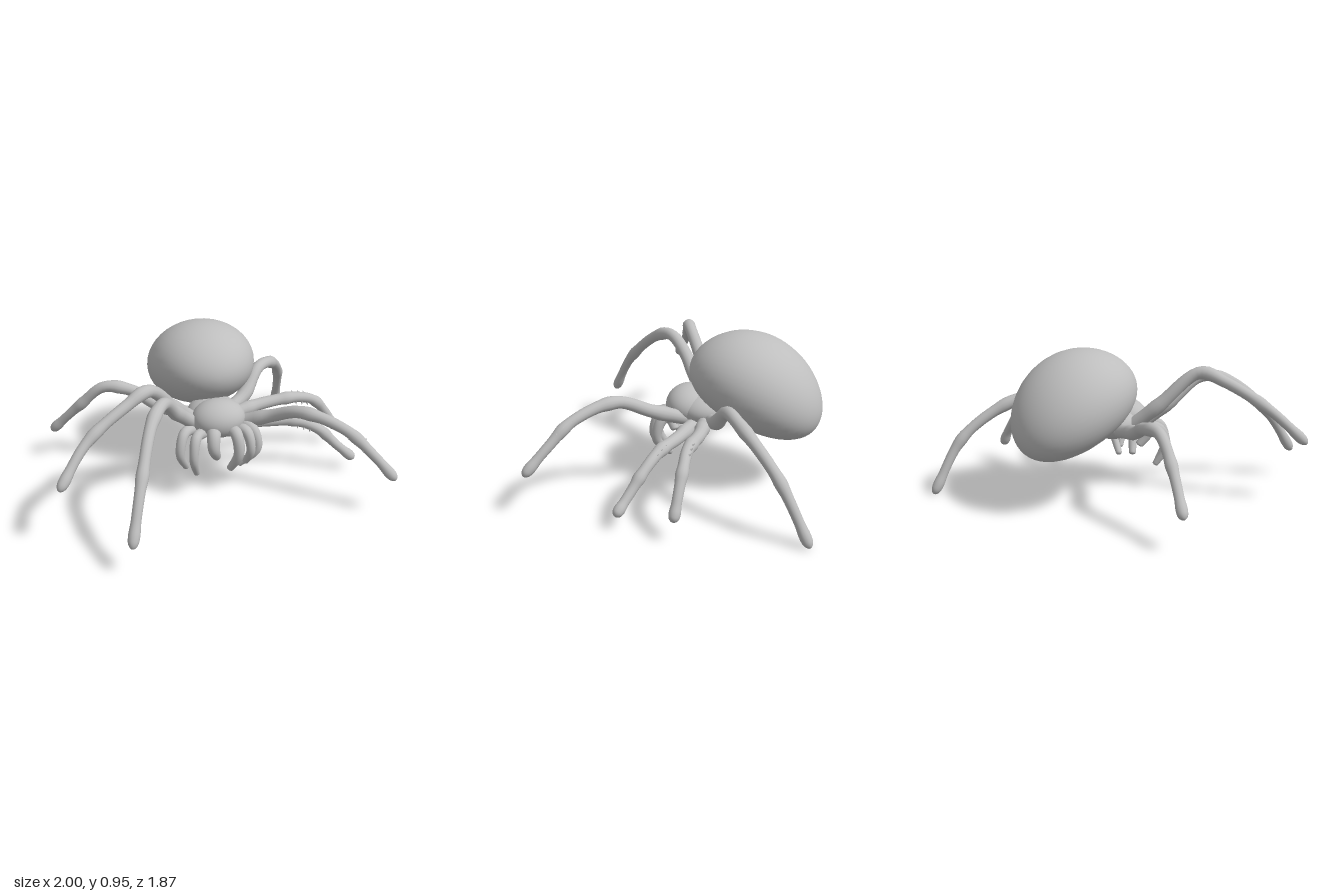
import * as THREE from 'three';
import { mergeVertices } from 'three/addons/utils/BufferGeometryUtils.js';

const grey = new THREE.MeshStandardMaterial({ color: 0xbebebe });
grey.name = 'stone grey';

function addMesh(parent, name, geometry) {
  const mesh = new THREE.Mesh(geometry, grey);
  mesh.name = name;
  parent.add(mesh);
  return mesh;
}

// Tube along a smooth path whose radius follows a rule; rings crowd towards the rounded far end
function limb(curve, radius, segments = 60, sides = 14) {
  const frames = curve.computeFrenetFrames(segments, false), pos = [], idx = [];
  for (let i = 0; i <= segments; i++) {
    const t = 1 - (1 - i / segments) ** 1.6, p = curve.getPointAt(t);
    const f = Math.round(t * segments);
    const end = t > 0.97 ? Math.sqrt(Math.max(0, 1 - ((t - 0.97) / 0.03) ** 2)) : 1;
    const r = Math.max(0.0005, radius(t) * end);
    // Frame of the nearest even step, squared up to the exact direction here
    const along = curve.getTangentAt(t);
    const across = frames.normals[f].clone().addScaledVector(along, -frames.normals[f].dot(along)).normalize();
    const up = along.clone().cross(across);
    for (let j = 0; j < sides; j++) {
      const a = j / sides * Math.PI * 2;
      const v = p.clone()
        .addScaledVector(across, Math.cos(a) * r)
        .addScaledVector(up, Math.sin(a) * r);
      pos.push(v.x, v.y, v.z);
      if (i < segments) {
        const q = i * sides + j, n = i * sides + (j + 1) % sides;
        idx.push(q, n, q + sides, n, n + sides, q + sides);
      }
    }
  }
  const g = new THREE.BufferGeometry();
  g.setAttribute('position', new THREE.Float32BufferAttribute(pos, 3));
  g.setIndex(idx);
  g.computeVertexNormals();
  return g;
}

// Egg-shaped abdomen: a ball bent along its length, fuller and lower at the rear
function abdomenGeometry() {
  const ball = new THREE.SphereGeometry(1, 40, 36).rotateX(Math.PI / 2);
  ball.deleteAttribute('uv');
  ball.deleteAttribute('normal');
  const g = mergeVertices(ball, 1e-4), p = g.attributes.position;
  for (let i = 0; i < p.count; i++) {
    const x = p.getX(i), y = p.getY(i), u = p.getZ(i);
    const middle = 0.652 + 0.1 * u - 0.052 * u * u;
    p.setXYZ(i, 0.055 + 0.345 * x, middle + 0.29 * y * (1 - 0.11 * u), -0.37 + 0.41 * u);
  }
  g.computeVertexNormals();
  return g;
}

// Leg paths from body to foot; tuft is where ragged tufts begin along the leg
const LEGS = [
  { name: 'rightBackLeg', tuft: 0.24, path: [[0, 0.40, -0.08], [-0.27, 0.47, -0.18],
    [-0.42, 0.545, -0.27], [-0.59, 0.565, -0.325], [-0.74, 0.425, -0.39], [-0.93, 0.20, -0.505]] },
  { name: 'rightMiddleLeg', path: [[-0.02, 0.38, -0.04], [-0.22, 0.57, 0.07],
    [-0.41, 0.785, 0.24], [-0.55, 0.74, 0.31], [-0.80, 0.595, 0.42], [-0.99, 0.385, 0.565]] },
  { name: 'rightFrontLeg', path: [[-0.04, 0.38, 0], [-0.23, 0.58, 0.16],
    [-0.34, 0.735, 0.33], [-0.435, 0.70, 0.48], [-0.555, 0.47, 0.745], [-0.645, 0.18, 0.92]] },
  { name: 'leftFrontLeg', tuft: 0.65, path: [[0.12, 0.37, 0], [0.36, 0.49, 0.18],
    [0.51, 0.58, 0.345], [0.73, 0.52, 0.52], [0.87, 0.39, 0.62], [0.99, 0.25, 0.715]] },
  { name: 'leftSecondLeg', tuft: 0.48, path: [[0.12, 0.37, -0.02], [0.40, 0.36, 0],
    [0.60, 0.35, 0.035], [0.74, 0.285, 0.07], [0.85, 0.18, 0.115], [0.96, 0.085, 0.155]] },
  { name: 'leftThirdLeg', tuft: 0.52, path: [[0.12, 0.38, -0.07], [0.42, 0.41, -0.145],
    [0.66, 0.415, -0.165], [0.79, 0.365, -0.19], [0.89, 0.25, -0.20], [0.965, 0.12, -0.20]] },
  { name: 'leftBackLeg', path: [[0.10, 0.38, -0.08], [0.31, 0.455, -0.21],
    [0.43, 0.58, -0.32], [0.53, 0.57, -0.42], [0.705, 0.36, -0.71], [0.77, 0.005, -0.925]] },
];

// Mouthparts hanging below the head: thickness, knee x and z, tip x and y
const MOUTHPARTS = [
  { name: 'rightPalp', r: 0.032, x: -0.17, z: 0.13, tipX: -0.155, tipY: 0.16 },
  { name: 'rightInnerPalp', r: 0.031, x: -0.11, z: 0.20, tipX: -0.105, tipY: 0.145 },
  { name: 'rightFang', r: 0.042, x: 0.005, z: 0.18, tipX: 0.03, tipY: 0.235 },
  { name: 'leftFang', r: 0.036, x: 0.14, z: 0.20, tipX: 0.105, tipY: 0.15 },
  { name: 'leftInnerPalp', r: 0.032, x: 0.21, z: 0.19, tipX: 0.21, tipY: 0.18 },
  { name: 'leftPalp', r: 0.032, x: 0.255, z: 0.15, tipX: 0.175, tipY: 0.145 },
];

const toCurve = pts => new THREE.CatmullRomCurve3(pts.map(p => new THREE.Vector3(...p)));

// Thicker base, slim foot and swollen joints
const bump = (t, c) => Math.exp(-(((t - c) / 0.035) ** 2));
const legRadius = t => 0.045 - 0.018 * t
  + 0.006 * (bump(t, 0.2) + bump(t, 0.48) + bump(t, 0.73) + bump(t, 0.95));

// Ragged little spikes winding around a stretch of leg
function addTufts(leg, curve, start) {
  for (let i = 0; i < 9; i++) {
    const a = i * 2.1;
    const dir = new THREE.Vector3(Math.cos(a) * 0.5, Math.sin(a), Math.sin(a * 2)).normalize();
    const spike = addMesh(leg, 'tuft', new THREE.ConeGeometry(0.014, 0.035, 5));
    spike.position.copy(curve.getPointAt(start + i * 0.015)).addScaledVector(dir, 0.036);
    spike.quaternion.setFromUnitVectors(new THREE.Vector3(0, 1, 0), dir);
  }
}

export function createModel() {
  const model = new THREE.Group();
  model.name = 'spider';

  addMesh(model, 'abdomen', abdomenGeometry());

  // Head and the flatter body the legs grow from
  const ball = new THREE.SphereGeometry(1, 36, 24);
  const head = addMesh(model, 'head', ball);
  head.position.set(0.065, 0.455, 0.06);
  head.scale.set(0.17, 0.122, 0.14);
  const thorax = addMesh(model, 'thorax', ball);
  thorax.position.set(0.06, 0.44, -0.04);
  thorax.scale.set(0.17, 0.105, 0.17);

  // Seven legs
  LEGS.forEach(({ name, tuft, path }) => {
    const leg = new THREE.Group();
    leg.name = name;
    const curve = toCurve(path);
    addMesh(leg, name + 'Limb', limb(curve, legRadius));
    if (tuft) addTufts(leg, curve, tuft);
    model.add(leg);
  });

  // Each mouthpart leaves the head, bends forward at the knee and curls back to its tip
  MOUTHPARTS.forEach(({ name, r, x, z, tipX, tipY }) => {
    const curve = toCurve([
      [x * 0.6 + 0.026, 0.39, z - 0.09],
      [x, 0.41, z],
      [x * 1.15 - 0.01, tipY * 0.5 + 0.21, z + 0.04],
      [tipX, tipY, z - 0.01],
    ]);
    addMesh(model, name, limb(curve, t => r * (1.1 - 0.5 * t * t), 30));
  });

  return model;
}
